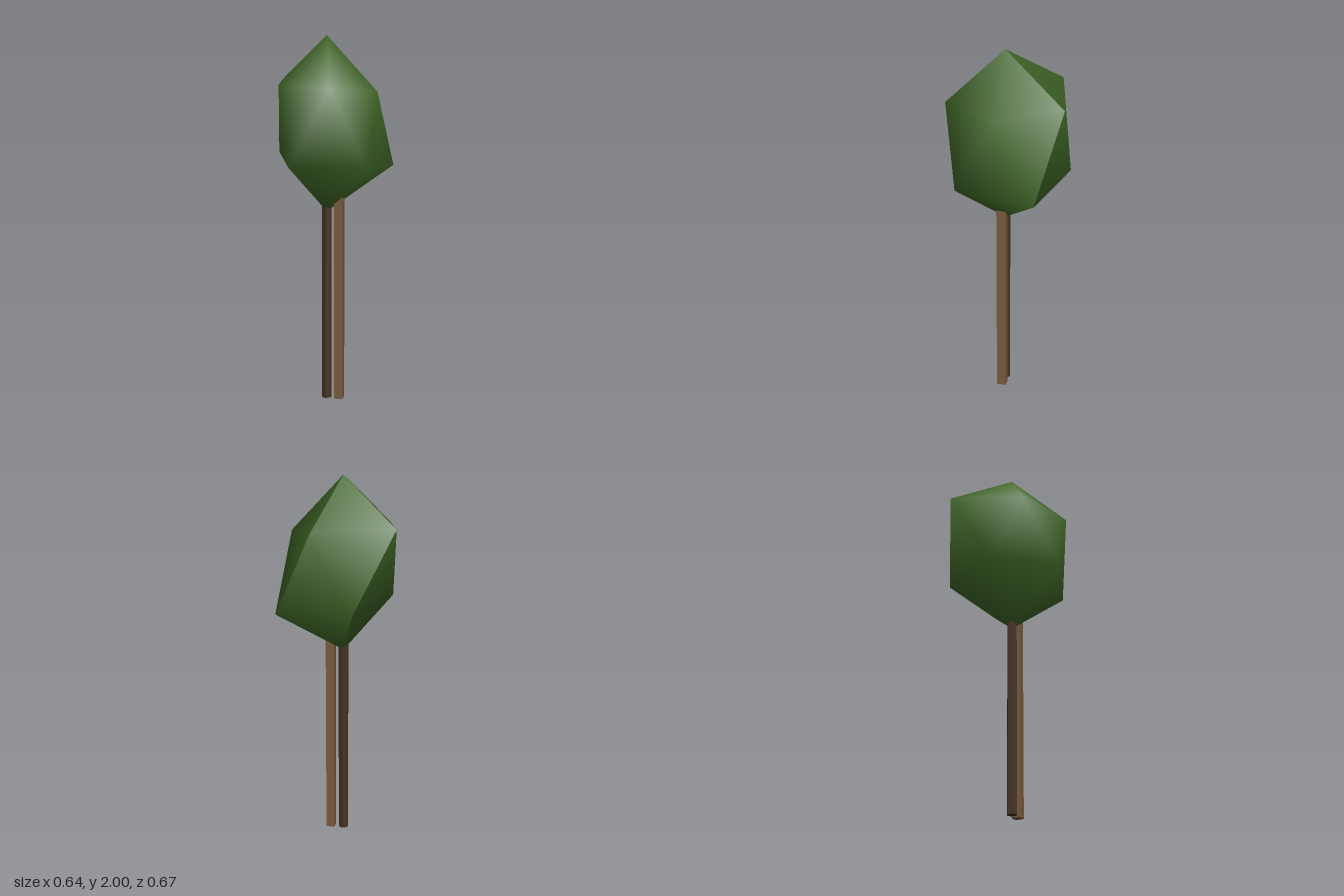
import * as THREE from 'three';

const mat = (name, color, extra = {}) => Object.assign(new THREE.MeshStandardMaterial({ color, ...extra }), { name });

// Crown: an irregular twenty-sided ball, smooth in patches with creases between them
function crownGeometry() {
  const apex = [0, 2, 0], base = [0, 1.05, 0];
  const upper = [[-0.32, 1.76, -0.235], [0.106, 1.74, -0.338], [0.28, 1.7, 0], [0.095, 1.72, 0.296], [-0.22, 1.74, 0.157]];
  const lower = [[-0.11, 1.32, -0.333], [0.318, 1.29, -0.235], [0.275, 1.31, 0.197], [-0.112, 1.32, 0.335], [-0.27, 1.37, 0]];
  const positions = [], indices = [], cache = {};

  // Corners with the same key share one smooth normal
  const corner = (key, p) => {
    if (!(key in cache)) {
      cache[key] = positions.length / 3;
      positions.push(...p);
    }
    return cache[key];
  };

  for (let i = 0; i < 5; i++) {
    const j = (i + 1) % 5;
    const side = i === 0 ? 'back' : 'front';        // the back strip is creased off
    const tip = [0, 1, 1, 2, 2][i];                 // the tips are split once more
    const a = corner('apex' + tip, apex), b = corner('base' + tip, base);
    const ui = corner(side + 'u' + i, upper[i]), uj = corner(side + 'u' + j, upper[j]);
    const li = corner(side + 'l' + i, lower[i]), lj = corner(side + 'l' + j, lower[j]);
    indices.push(a, uj, ui, ui, uj, li, uj, lj, li, li, lj, b);
  }

  const g = new THREE.BufferGeometry();
  g.setAttribute('position', new THREE.Float32BufferAttribute(positions, 3));
  g.setIndex(indices);
  g.computeVertexNormals();
  return g;
}

export function createModel() {
  const model = new THREE.Group();
  model.name = 'tree';
  const leaf = mat('leafGreen', 0x3f6626);
  const bark = mat('darkBark', 0x453223, { flatShading: true });
  const wood = mat('stakeWood', 0x7a5b3d);

  const add = (name, geometry, material, x, y) => {
    const mesh = new THREE.Mesh(geometry, material);
    mesh.name = name;
    mesh.position.set(x, y, 0);
    model.add(mesh);
  };

  add('crown', crownGeometry(), leaf, 0, 0);
  // Six-sided trunk reaching into the crown
  add('trunk', new THREE.CylinderGeometry(0.028, 0.028, 1.12, 6), bark, 0, 0.56);
  // Square support stake beside the trunk
  add('stake', new THREE.BoxGeometry(0.046, 1.125, 0.05), wood, 0.071, 0.5625);
  return model;
}
